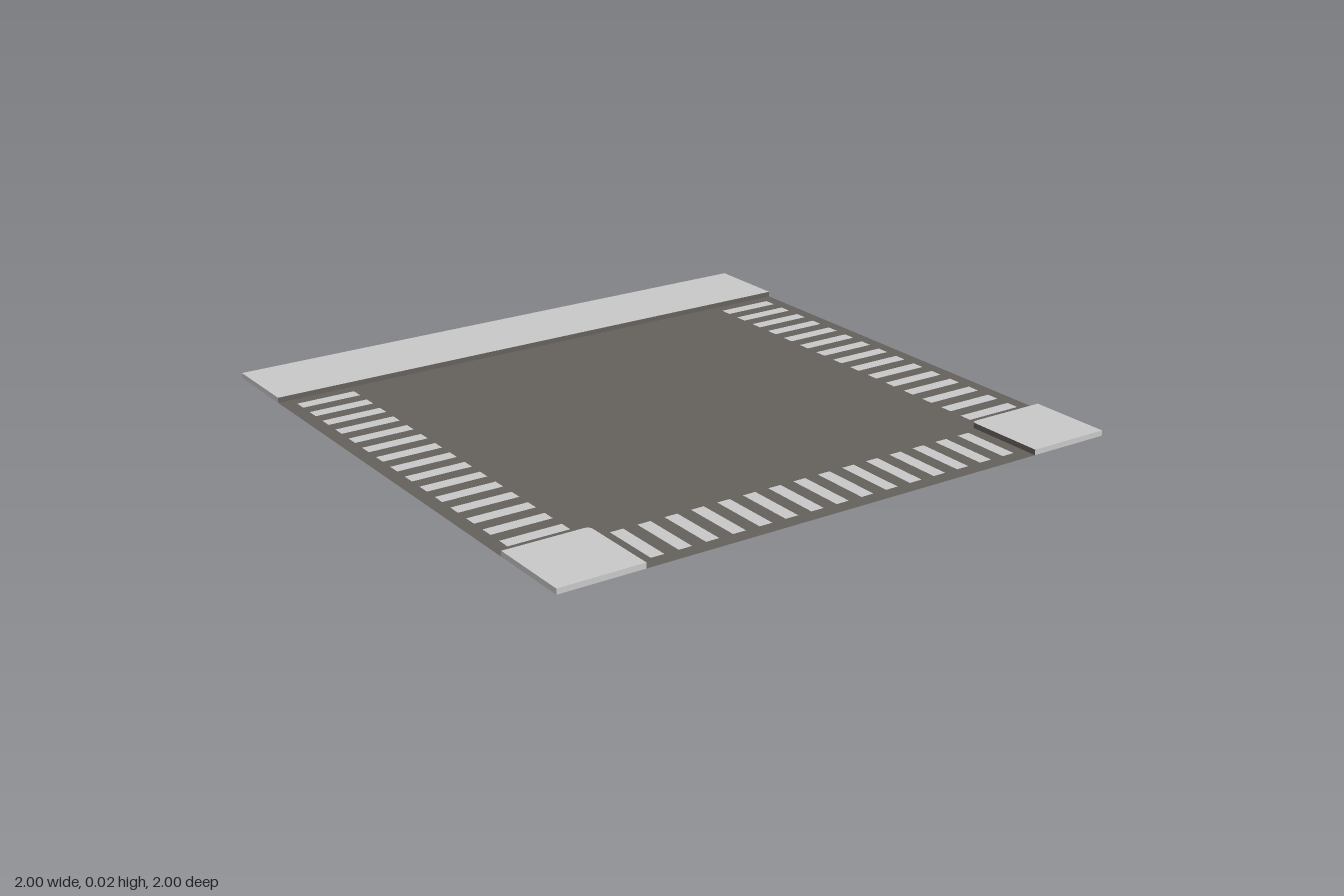
import * as THREE from 'three';

const INNER = 0.715; // half width of the roads
const HEIGHT = 0.018; // kerb height
const R = 0.02; // rounding of the kerb corners

export function createModel() {
  const model = new THREE.Group();
  model.name = 'roadJunction';

  const asphalt = new THREE.MeshStandardMaterial({ color: 0x65615d, side: THREE.DoubleSide });
  asphalt.name = 'asphalt';
  const paleGrey = new THREE.MeshStandardMaterial({ color: 0xc8c8c8 });
  paleGrey.name = 'paleGrey';

  const add = (name, geometry, material) => {
    const mesh = new THREE.Mesh(geometry, material);
    mesh.name = name;
    model.add(mesh);
    return mesh;
  };

  // Flat T-shaped road surface, drawn as (x, z)
  const roadShape = new THREE.Shape();
  roadShape.moveTo(-1, -INNER);
  roadShape.lineTo(1, -INNER);
  roadShape.lineTo(1, INNER);
  roadShape.lineTo(INNER + R, INNER);
  roadShape.quadraticCurveTo(INNER, INNER, INNER, INNER + R);
  roadShape.lineTo(INNER, 1);
  roadShape.lineTo(-INNER, 1);
  roadShape.lineTo(-INNER, INNER + R);
  roadShape.quadraticCurveTo(-INNER, INNER, -INNER - R, INNER);
  roadShape.lineTo(-1, INNER);
  roadShape.closePath();
  add('road', new THREE.ShapeGeometry(roadShape, 6).rotateX(Math.PI / 2), asphalt);

  // Raised pavement: pale all round, but asphalt on the kerb faces towards the road
  function addPavement(name, shape) {
    const geometry = new THREE.ExtrudeGeometry(shape, { depth: HEIGHT, bevelEnabled: false, curveSegments: 6 });
    geometry.rotateX(Math.PI / 2).translate(0, HEIGHT, 0);
    const p = geometry.attributes.position;
    const n = geometry.attributes.normal;
    geometry.clearGroups();
    for (let i = 0; i < p.count; i += 3) {
      const x = (p.getX(i) + p.getX(i + 1) + p.getX(i + 2)) / 3;
      const z = (p.getZ(i) + p.getZ(i + 1) + p.getZ(i + 2)) / 3;
      const outer = Math.max(Math.abs(x), Math.abs(z)) > 0.999;
      const kerb = Math.abs(n.getY(i)) < 0.5 && !outer;
      geometry.addGroup(i, 3, kerb ? 1 : 0);
    }
    add(name, geometry, [paleGrey, asphalt]);
  }

  const backShape = new THREE.Shape();
  backShape.moveTo(-1, -1);
  backShape.lineTo(1, -1);
  backShape.lineTo(1, -INNER);
  backShape.lineTo(-1, -INNER);
  backShape.closePath();
  addPavement('backPavement', backShape);

  for (const [side, name] of [[1, 'leftCornerPavement'], [-1, 'rightCornerPavement']]) {
    const corner = new THREE.Shape();
    corner.moveTo(side, INNER);
    corner.lineTo(side, 1);
    corner.lineTo(side * INNER, 1);
    corner.lineTo(side * INNER, INNER + R);
    corner.quadraticCurveTo(side * INNER, INNER, side * (INNER + R), INNER);
    corner.closePath();
    addPavement(name, corner);
  }

  // Three crossings of fifteen painted bars each
  const bar = new THREE.PlaneGeometry(0.204, 0.045).rotateX(-Math.PI / 2);
  for (const [name, angle] of [['leftCrossing', 0], ['frontCrossing', -Math.PI / 2], ['rightCrossing', Math.PI]]) {
    const crossing = new THREE.Group();
    crossing.name = name;
    for (let i = -7; i <= 7; i++) {
      const stripe = new THREE.Mesh(bar, paleGrey);
      stripe.name = 'crossingBar';
      stripe.position.set(0.852, 0.002, i * 0.0925);
      crossing.add(stripe);
    }
    crossing.rotation.y = angle;
    model.add(crossing);
  }

  return model;
}
